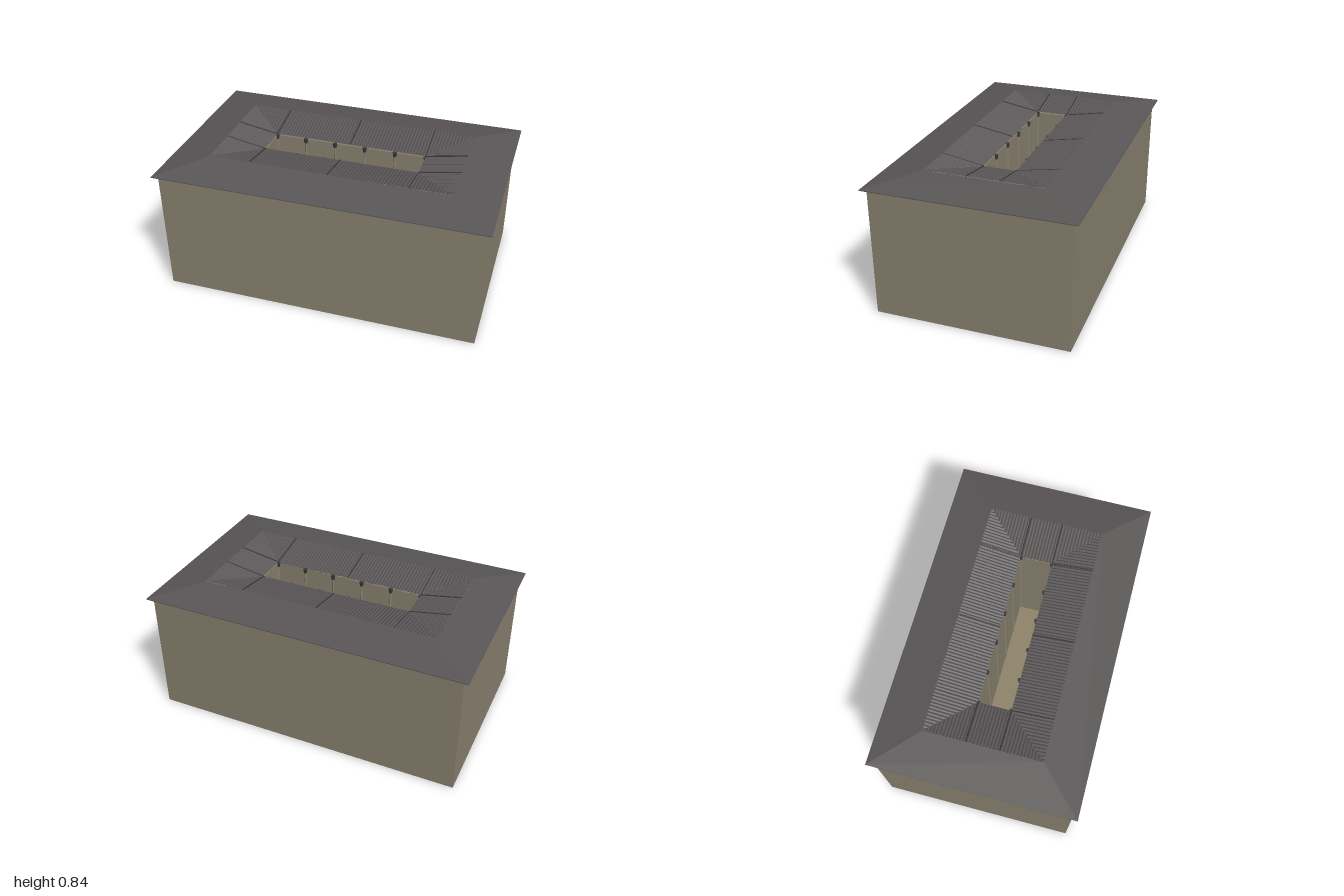
import * as THREE from 'three';

const wallMat = new THREE.MeshStandardMaterial({ color: 0x8a8270, flatShading: true });
const floorMat = new THREE.MeshStandardMaterial({ color: 0x8f8468, flatShading: true });
const roofMat = new THREE.MeshStandardMaterial({ color: 0x5a5657, flatShading: true, side: THREE.DoubleSide });
const darkMat = new THREE.MeshStandardMaterial({ color: 0x3a3738 });

const HX = 1, HZ = 0.615;            // eave half sizes
const RX = 0.74, RZ = 0.355;         // ridge half sizes
const RUN = 0.255;                   // inner slope, seen from above
const OX = RX - RUN, OZ = RZ - RUN;  // courtyard opening half sizes
const RIDGE = 0.835, EAVE = 0.79;

function mesh(parent, name, geometry, material) {
  const m = new THREE.Mesh(geometry, material);
  m.name = name;
  parent.add(m);
  return m;
}

function surface(positions) {
  const g = new THREE.BufferGeometry();
  g.setAttribute('position', new THREE.Float32BufferAttribute(positions, 3));
  g.computeVertexNormals();
  return g;
}

// Sweeps a profile of [halfX, halfZ, y] around a rectangle with mitred corners
function rectangularSweep(profile) {
  const corners = [[1, 1], [1, -1], [-1, -1], [-1, 1]];
  const pos = [];
  for (let p = 0; p < profile.length - 1; p++) {
    for (let c = 0; c < 4; c++) {
      const at = (q, k) => {
        const [sx, sz] = corners[k % 4];
        return [sx * q[0], q[2], sz * q[1]];
      };
      const a = at(profile[p], c), b = at(profile[p], c + 1);
      const d = at(profile[p + 1], c), e = at(profile[p + 1], c + 1);
      pos.push(...a, ...b, ...e, ...a, ...e, ...d);
    }
  }
  return surface(pos);
}

// Ribbed slope falling from the ridge to the courtyard, cut at the corner mitres
function tiledSlope(halfLength, ridgeZ) {
  const pos = [];
  const n = Math.round(halfLength / 0.01) * 2;
  const edge = (i) => {
    const x = -halfLength + (2 * halfLength * i) / n;
    const run = Math.min(RUN, halfLength - Math.abs(x));
    const bump = i % 2 ? 0.005 : 0;
    return [
      [x, RIDGE + bump, ridgeZ],
      [x, RIDGE + bump - (RIDGE - EAVE) * run / RUN, ridgeZ - run],
    ];
  };
  for (let i = 0; i < n; i++) {
    const [a, b] = edge(i), [c, d] = edge(i + 1);
    pos.push(...a, ...c, ...d, ...a, ...d, ...b);
  }
  return surface(pos);
}

export function createModel() {
  const model = new THREE.Group();
  model.name = 'courtyardHouse';

  // Walls: a block with the courtyard cut out
  const rect = (Type, x, z) => new Type([
    new THREE.Vector2(-x, -z), new THREE.Vector2(x, -z),
    new THREE.Vector2(x, z), new THREE.Vector2(-x, z),
  ]);
  const plan = rect(THREE.Shape, 0.97, 0.585);
  plan.holes.push(rect(THREE.Path, OX, OZ));
  const walls = new THREE.ExtrudeGeometry(plan, { depth: 0.785, bevelEnabled: false });
  walls.rotateX(-Math.PI / 2);
  mesh(model, 'walls', walls, wallMat);

  // Courtyard floor
  mesh(model, 'courtyardFloor', new THREE.BoxGeometry(OX * 2, 0.01, OZ * 2), floorMat).position.y = 0.005;

  // Outer roof with eave edge and soffit
  mesh(model, 'outerRoof', rectangularSweep([
    [OX, OZ, 0.785], [HX, HZ, 0.785], [HX, HZ, EAVE], [RX, RZ, RIDGE],
  ]), roofMat);

  // Inner tiled slopes on all four sides
  const innerRoof = new THREE.Group();
  innerRoof.name = 'innerRoof';
  model.add(innerRoof);
  for (let k = 0; k < 4; k++) {
    const side = k % 2 ? tiledSlope(RZ, RX) : tiledSlope(RX, RZ);
    mesh(innerRoof, 'tiledSlope', side, roofMat).rotation.y = k * Math.PI / 2;
  }

  // Seam ribs running down the slopes
  const addSeam = (x1, z1, x2, z2) => {
    const path = new THREE.LineCurve3(
      new THREE.Vector3(x1, RIDGE + 0.002, z1), new THREE.Vector3(x2, EAVE + 0.002, z2));
    mesh(innerRoof, 'seamRib', new THREE.TubeGeometry(path, 1, 0.004, 6), darkMat);
  };
  for (const s of [-1, 1]) {
    for (const x of [-OX, 0, OX]) addSeam(x, s * RZ, x, s * OZ);
    for (const z of [-OZ, OZ]) addSeam(s * RX, z, s * OX, z);
  }

  // Engaged columns with dark capitals along both long sides of the courtyard
  const shaft = new THREE.CylinderGeometry(0.007, 0.008, 0.76, 10);
  const capital = new THREE.CylinderGeometry(0.014, 0.01, 0.028, 12);
  for (const s of [-1, 1]) {
    for (let i = 0; i < 6; i++) {
      const column = new THREE.Group();
      column.name = 'column';
      column.position.set(-OX + (2 * OX * i) / 5, 0, s * OZ);
      mesh(column, 'shaft', shaft, wallMat).position.y = 0.38;
      mesh(column, 'capital', capital, darkMat).position.y = 0.772;
      model.add(column);
    }
  }
  return model;
}
